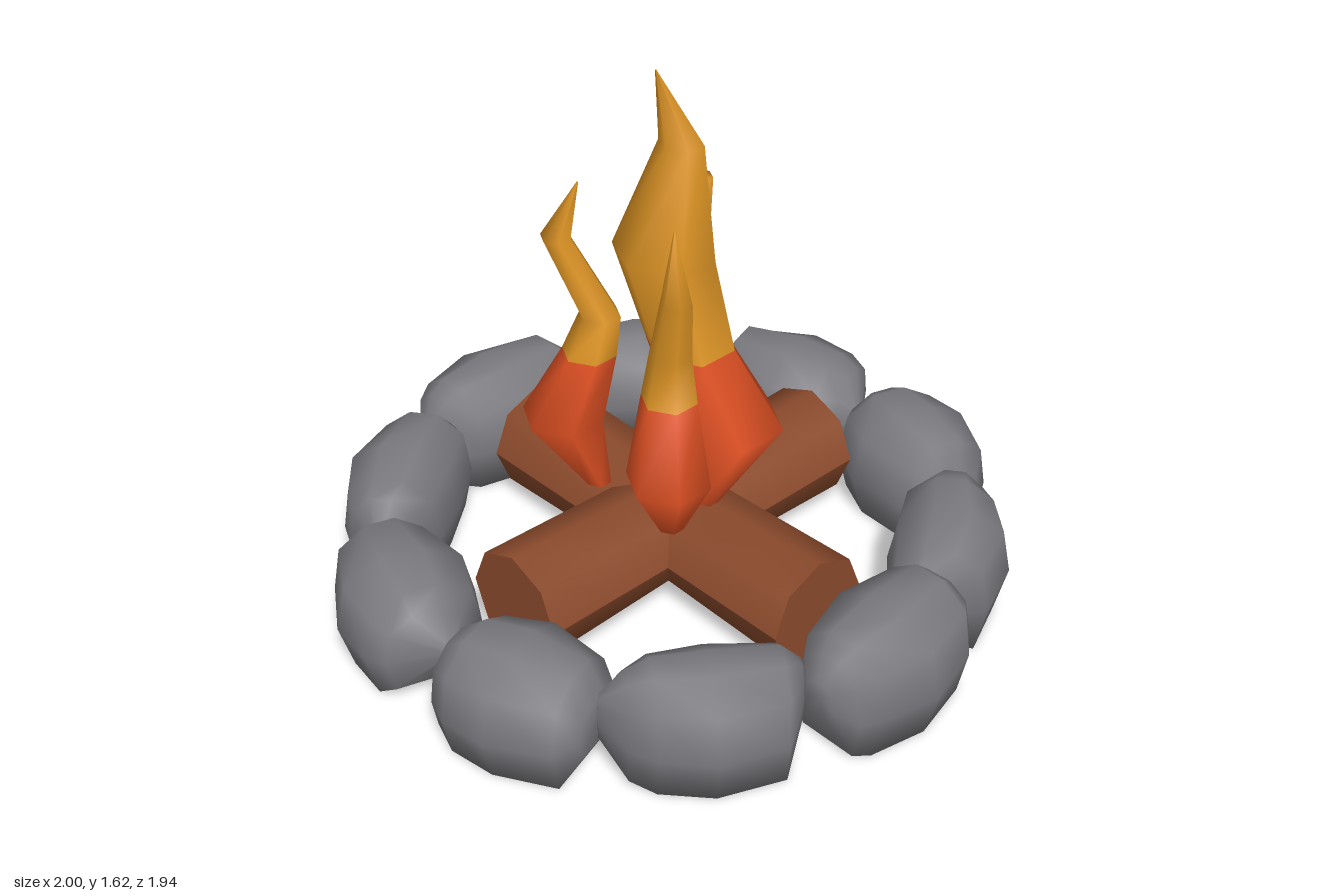
import * as THREE from 'three';

const mat = (name, color) => {
  const m = new THREE.MeshStandardMaterial({ color });
  m.name = name;
  return m;
};

// Skin a closed solid over rings of points; the first `split` bands get material 0, the rest material 1.
function loft(rings, split = rings.length) {
  const n = rings[0].length, pos = rings.flat(2), index = [];
  const capPoint = (ring) => {
    const c = [0, 1, 2].map((k) => ring.reduce((s, p) => s + p[k], 0) / n);
    return pos.push(...c) / 3 - 1;
  };
  const last = (rings.length - 1) * n;
  const start = capPoint(rings[0]), end = capPoint(rings[rings.length - 1]);
  for (let i = 0; i < n; i++) index.push(start, (i + 1) % n, i);
  let splitAt = 0;
  for (let k = 0; k < rings.length - 1; k++) {
    if (k === split) splitAt = index.length;
    for (let i = 0; i < n; i++) {
      const j = (i + 1) % n, a = k * n + i, b = k * n + j;
      index.push(a, b, b + n, a, b + n, a + n);
    }
  }
  for (let i = 0; i < n; i++) index.push(end, last + i, last + (i + 1) % n);
  const g = new THREE.BufferGeometry();
  g.setAttribute('position', new THREE.Float32BufferAttribute(pos, 3));
  g.setIndex(index);
  if (splitAt) {
    g.addGroup(0, splitAt, 0);
    g.addGroup(splitAt, index.length - splitAt, 1);
  }
  g.computeVertexNormals();
  return g;
}

// Stone cross-section: across (-1..1), height (0..1), flat underneath
const SECTION = [[0.8, 0], [1, 0.42], [0.85, 0.82], [0.3, 1], [-0.3, 1], [-0.85, 0.82], [-1, 0.42], [-0.8, 0]];

// Stations: along the ring, inner edge, outer edge, bottom, top
const FRONT_STONE = [
  [-0.23, -0.1, 0.1, 0.1, 0.24], [-0.18, -0.14, 0.15, 0.005, 0.32], [0, -0.2, 0.2, 0.005, 0.33],
  [0.14, -0.17, 0.17, 0.005, 0.315], [0.2, -0.11, 0.13, 0.05, 0.28], [0.255, -0.06, -0.02, 0.16, 0.19]];
const CORNER_STONE = [
  [-0.25, -0.12, -0.02, 0.1, 0.26], [-0.19, -0.16, 0.12, 0.005, 0.33], [0, -0.175, 0.17, 0.005, 0.34],
  [0.15, -0.16, 0.13, 0.005, 0.33], [0.22, -0.11, 0.09, 0.03, 0.31], [0.29, -0.05, 0, 0.12, 0.24]];
const SIDE_STONE = [
  [-0.29, -0.14, 0.07, 0.08, 0.27], [-0.21, -0.17, 0.14, 0.005, 0.34], [-0.02, -0.195, 0.195, 0.005, 0.345],
  [0.15, -0.14, 0.15, 0.005, 0.33], [0.2, -0.1, 0.12, 0.02, 0.3], [0.242, -0.04, 0.06, 0.12, 0.24]];

function stoneGeometry(stations, flip) {
  const s = flip ? stations.map(([t, ...rest]) => [-t, ...rest]).reverse() : stations;
  return loft(s.map(([t, r0, r1, y0, y1]) =>
    SECTION.map(([u, v]) => [0.805 + (r0 + r1) / 2 + u * (r1 - r0) / 2, y0 + v * (y1 - y0), t])));
}

// Flame stations: x, y, z, half width in x, half width in z
const flameGeometry = (stations, split) => loft(stations.map(([x, y, z, rx, rz = rx]) =>
  Array.from({ length: 6 }, (_, i) => {
    const a = (i + 0.5) * Math.PI / 3;
    return [x + Math.cos(a) * rx * 1.1, y, z - Math.sin(a) * rz * 1.05];
  })), split);

const MAIN_FLAME = [
  [0.15, 0.34, 0, 0.03], [0.18, 0.6, -0.05, 0.14, 0.15], [0.03, 0.79, -0.045, 0.12, 0.115],
  [0.01, 1.1, 0.035, 0.14, 0.12], [0, 1.395, -0.04, 0.06, 0.055], [0, 1.63, 0.05, 0.002]];
const FRONT_FLAME = [
  [0.15, 0.32, 0.14, 0.035], [0.215, 0.55, 0.21, 0.11], [0.16, 0.76, 0.155, 0.073],
  [0.14, 0.88, 0.13, 0.055], [0.235, 1.11, 0.2, 0.04], [0.185, 1.28, 0.16, 0.002]];
const BACK_FLAME = [
  [-0.07, 0.32, -0.13, 0.04], [-0.12, 0.6, -0.22, 0.115], [-0.085, 0.78, -0.18, 0.075],
  [-0.08, 0.9, -0.16, 0.06], [-0.09, 1.03, -0.165, 0.048], [-0.11, 1.19, -0.215, 0.035]];

export function createModel() {
  const model = new THREE.Group();
  model.name = 'campfire';
  const grey = mat('stone grey', 0x7b7b80);
  const brown = mat('wood brown', 0x8a4a2c);
  const fire = [mat('flame orange', 0xe25224), mat('flame yellow', 0xdd9424)];
  const add = (name, geometry, material) => {
    const mesh = new THREE.Mesh(geometry, material);
    mesh.name = name;
    model.add(mesh);
    return mesh;
  };

  // Ring of ten stones, mirrored left to right and front to back
  const addStone = (name, stations, degrees, flip) => {
    add(name, stoneGeometry(stations, flip), grey).rotation.y = THREE.MathUtils.degToRad(degrees);
  };
  for (const [name, stations, angle] of [['Stone', FRONT_STONE, 72], ['CornerStone', CORNER_STONE, 36]]) {
    addStone('frontLeft' + name, stations, -angle, false);
    addStone('backLeft' + name, stations, angle, true);
    addStone('frontRight' + name, stations, angle - 180, true);
    addStone('backRight' + name, stations, 180 - angle, false);
  }
  addStone('leftStone', SIDE_STONE, 0, false);
  addStone('rightStone', SIDE_STONE, 180, true);

  // Two crossed logs, slightly thinner where they meet
  const logGeometry = new THREE.CylinderGeometry(0.167, 0.167, 1.17, 8, 4).rotateZ(Math.PI / 2);
  const p = logGeometry.attributes.position;
  for (let i = 0; i < p.count; i++) {
    p.setY(i, p.getY(i) * (0.82 + 0.18 * Math.abs(p.getX(i)) / 0.585));
  }
  logGeometry.computeVertexNormals();
  ['crosswiseLog', 'lengthwiseLog'].forEach((name, i) => {
    const log = add(name, logGeometry, brown);
    log.position.y = 0.198;
    log.rotation.y = i * Math.PI / 2;
  });

  // Flames, orange below and yellow above
  add('mainFlame', flameGeometry(MAIN_FLAME, 2), fire);
  add('frontLeftFlame', flameGeometry(FRONT_FLAME, 2), fire);
  add('frontRightFlame', flameGeometry(FRONT_FLAME.map(([x, ...rest]) => [-x, ...rest]), 2), fire);
  add('backFlame', flameGeometry(BACK_FLAME, 2), fire);
  return model;
}
